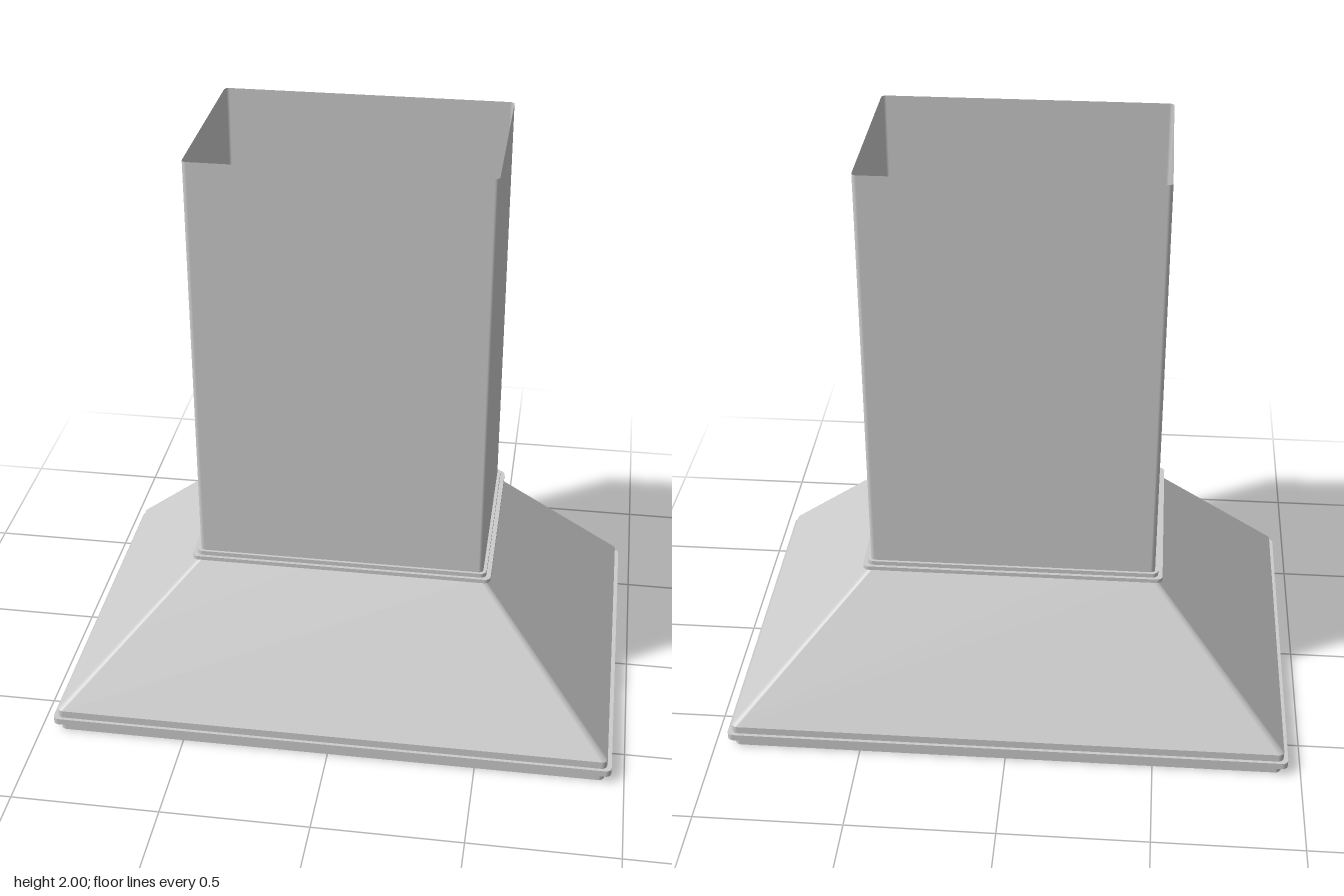
import * as THREE from 'three';

const CORNER_STEPS = 5;
const material = new THREE.MeshStandardMaterial({ color: 0xcccccc, side: THREE.DoubleSide });

// Outline of a rounded rectangle with half sizes hx, hz at height y
function ring([hx, hz, y, r = 0.02]) {
  const points = [];
  [[1, 1], [-1, 1], [-1, -1], [1, -1]].forEach(([sx, sz], corner) => {
    for (let i = 0; i <= CORNER_STEPS; i++) {
      const a = (corner + i / CORNER_STEPS) * Math.PI / 2;
      points.push([sx * (hx - r) + r * Math.cos(a), y, sz * (hz - r) + r * Math.sin(a)]);
    }
  });
  return points;
}

// Skin a list of sections; each band has its own vertices, so edges between bands stay crisp
function loft(name, sections) {
  const positions = [], index = [];
  const rings = sections.map(ring);
  for (let k = 0; k < rings.length - 1; k++) {
    const n = rings[k].length, base = positions.length / 3;
    positions.push(...rings[k].flat(), ...rings[k + 1].flat());
    for (let i = 0; i < n; i++) {
      const a = base + i, b = base + (i + 1) % n;
      index.push(a, a + n, b, b, a + n, b + n);
    }
  }
  const geometry = new THREE.BufferGeometry();
  geometry.setAttribute('position', new THREE.Float32BufferAttribute(positions, 3));
  geometry.setIndex(index);
  geometry.computeVertexNormals();
  const mesh = new THREE.Mesh(geometry, material);
  mesh.name = name;
  return mesh;
}

// Flat plate filling a rounded rectangle
function plate(name, section) {
  const outline = ring(section).map(([x, , z]) => new THREE.Vector2(x, -z));
  const geometry = new THREE.ShapeGeometry(new THREE.Shape(outline));
  geometry.rotateX(-Math.PI / 2).translate(0, section[2], 0);
  const mesh = new THREE.Mesh(geometry, material);
  mesh.name = name;
  return mesh;
}

export function createModel() {
  const group = new THREE.Group();
  group.name = 'rangeHood';

  // Stepped rim around the base, with a narrow lip underneath
  group.add(loft('baseRim', [
    [0.91, 0.62, 0],
    [0.934, 0.641, 0],
    [0.934, 0.641, 0.03],
    [0.956, 0.656, 0.03],
    [0.956, 0.656, 0.053],
    [0.941, 0.645, 0.053],
    [0.941, 0.645, 0.08],
  ]));

  // Outer slope of the canopy
  group.add(loft('canopy', [
    [0.941, 0.645, 0.08],
    [0.484, 0.329, 0.556, 0.015],
  ]));

  // Inner slope, rising from the lip to a closing plate under the duct
  const innerTop = [0.472, 0.319, 0.53, 0.025];
  group.add(loft('canopyLining', [[0.91, 0.62, 0], innerTop]));
  group.add(plate('canopyTop', innerTop));

  // Two-step collar where the duct meets the canopy
  group.add(loft('collar', [
    [0.484, 0.329, 0.553, 0.015],
    [0.51, 0.349, 0.553],
    [0.51, 0.349, 0.567],
    [0.495, 0.338, 0.567],
    [0.495, 0.338, 0.582],
    [0.484, 0.329, 0.582, 0.015],
  ]));

  // Open thin-walled duct
  group.add(loft('duct', [
    [0.484, 0.329, 0.553, 0.015],
    [0.484, 0.329, 2, 0.015],
  ]));

  return group;
}
